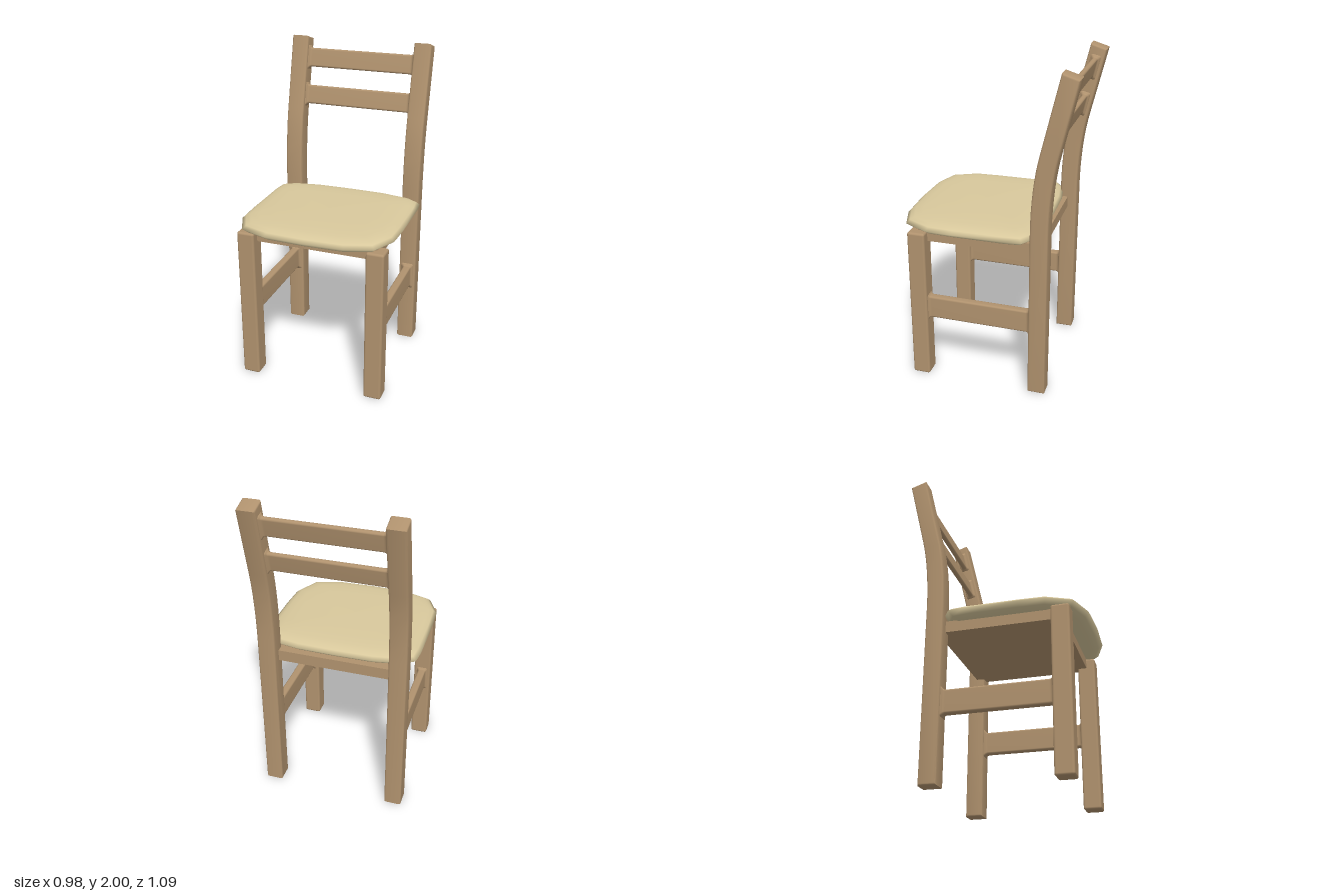
import * as THREE from 'three';
import { toCreasedNormals } from 'three/addons/utils/BufferGeometryUtils.js';
import { RoundedBoxGeometry } from 'three/addons/geometries/RoundedBoxGeometry.js';

const wood = new THREE.MeshStandardMaterial({ color: 0xb0926e });
const fabric = new THREE.MeshStandardMaterial({ color: 0xd8c89c });

// Skin a list of closed rings (each a list of [x, y, z]) into a tube
function loft(rings) {
  const n = rings[0].length, index = [];
  for (let i = 0; i < rings.length - 1; i++) {
    for (let j = 0; j < n; j++) {
      const a = i * n + j, b = i * n + (j + 1) % n;
      index.push(a, b, b + n, a, b + n, a + n);
    }
  }
  const geometry = new THREE.BufferGeometry();
  geometry.setAttribute('position', new THREE.Float32BufferAttribute(rings.flat(2), 3));
  geometry.setIndex(index);
  geometry.computeVertexNormals();
  return geometry;
}

// Rounded rectangle ring in the y-z plane at a given x
function barRing(x, height, depth, radius) {
  const ring = [];
  for (let corner = 0; corner < 4; corner++) {
    const sy = corner === 0 || corner === 3 ? 1 : -1;
    const sz = corner < 2 ? 1 : -1;
    for (let k = 0; k <= 3; k++) {
      const angle = (corner + k / 3) * Math.PI / 2;
      ring.push([x,
        sy * (height / 2 - radius) + radius * Math.cos(angle),
        sz * (depth / 2 - radius) + radius * Math.sin(angle)]);
    }
  }
  return ring;
}

// Bar along x whose ends flare softly into the posts
function flaredBar(length, height, depth) {
  const h = length / 2;
  const stations = [[h + 0.01, 0.018], [h, 0.016], [h - 0.005, 0.007], [h - 0.012, 0.002], [h - 0.022, 0]];
  const all = [...stations.map(([x, f]) => [-x, f]), ...stations.slice().reverse()];
  return loft(all.map(([x, f]) => barRing(x, height + 2 * f, depth + 2 * f, 0.012)));
}

// Curved back post: side profile drawn as (z, y), extruded across its width
function backPostGeometry() {
  const b = 0.012, width = 0.11;
  const s = new THREE.Shape();
  s.moveTo(-0.40 + b, b);
  s.lineTo(-0.293 - b, b);
  s.lineTo(-0.293 - b, 1.08);
  s.bezierCurveTo(-0.294 - b, 1.25, -0.31 - b, 1.42, -0.343 - b, 1.55);
  s.lineTo(-0.45 - b * 0.7, 2 - b * 1.2);
  s.lineTo(-0.55 + b * 1.2, 1.97 - b * 0.7);
  s.lineTo(-0.45 + b, 1.55);
  s.bezierCurveTo(-0.418 + b, 1.42, -0.401 + b, 1.25, -0.40 + b, 1.08);
  s.closePath();
  const geometry = new THREE.ExtrudeGeometry(s, {
    depth: width - 2 * b, bevelThickness: b, bevelSize: b, bevelSegments: 3, curveSegments: 8,
  });
  geometry.translate(0, 0, -width / 2 + b);
  geometry.rotateY(-Math.PI / 2); // profile z runs along world z
  return toCreasedNormals(geometry, 0.6);
}

// Soft cushion: one outline, inset and raised in steps
function cushionGeometry() {
  const half = [[0.245, 0.535], [0.41, 0.48], [0.483, 0.33], [0.49, 0.17], [0.49, -0.16],
    [0.48, -0.255], [0.41, -0.30], [0.24, -0.328]];
  const outline = [[0, 0.545], ...half, [0, -0.333], ...half.slice().reverse().map(([x, z]) => [-x, z])];
  const layers = [[0, 0.98], [0.7, 0.98], [0.86, 0.984], [0.94, 0.995], [1, 1.02],
    [0.955, 1.04], [0.9, 1.051], [0.8, 1.059], [0.6, 1.064], [0.3, 1.066], [0, 1.067]];
  const cz = 0.106;
  return loft(layers.map(([k, y]) => outline.map(([x, z]) => [x * k, y, cz + (z - cz) * k])));
}

export function createModel() {
  const model = new THREE.Group();
  model.name = 'chair';
  const add = (name, geometry, material, x, y, z) => {
    const mesh = new THREE.Mesh(geometry, material);
    mesh.name = name;
    mesh.position.set(x, y, z);
    model.add(mesh);
    return mesh;
  };

  // Legs, posts and side rails
  const frontLeg = new RoundedBoxGeometry(0.11, 0.985, 0.11, 3, 0.014);
  const backPost = backPostGeometry();
  const sideRail = flaredBar(0.645, 0.145, 0.05);
  for (const [side, x] of [['left', 0.405], ['right', -0.405]]) {
    add(side + 'FrontLeg', frontLeg, wood, x, 0.4925, 0.405);
    add(side + 'BackPost', backPost, wood, x, 0, 0);
    add(side + 'SideRail', sideRail, wood, x, 0.478, 0.03).rotation.y = Math.PI / 2;
  }

  // Backrest slats, leaning with the posts
  const slat = flaredBar(0.70, 0.12, 0.032);
  add('upperSlat', slat, wood, 0, 1.86, -0.469).rotation.x = -0.23;
  add('lowerSlat', slat, wood, 0, 1.628, -0.415).rotation.x = -0.23;

  // Seat
  add('seatBoard', new THREE.BoxGeometry(0.81, 0.07, 0.75), wood, 0, 0.955, 0.032);
  add('seatCushion', cushionGeometry(), fabric, 0, 0, 0);
  return model;
}
